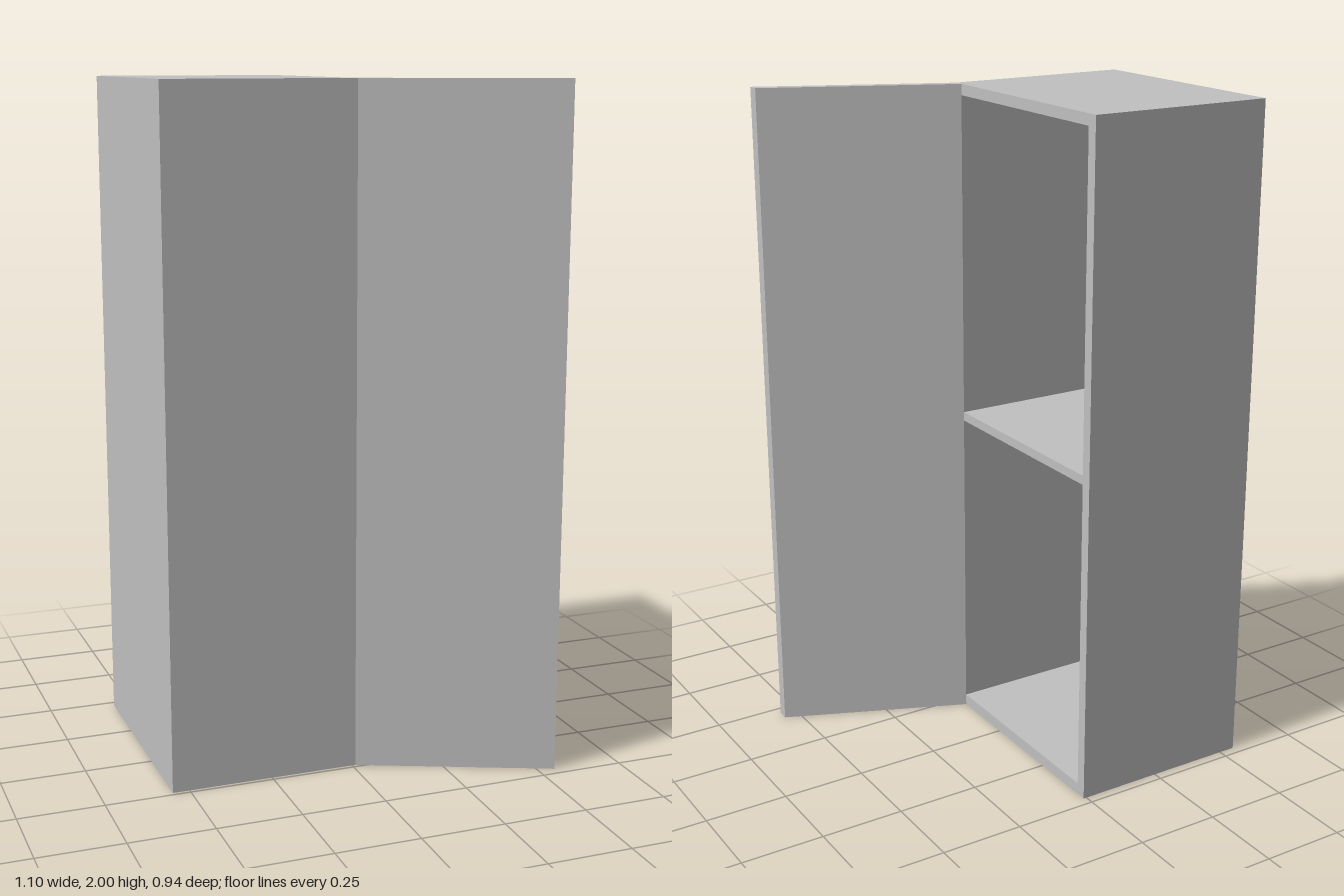
import * as THREE from 'three';

export function createModel() {
  const group = new THREE.Group();
  group.name = 'cabinet';
  const grey = new THREE.MeshStandardMaterial({ color: 0xc0c0c0 });
  grey.name = 'grey';

  // box panel given by its min and max corners
  const panel = (name, x0, x1, y0, y1, z0, z1) => {
    const mesh = new THREE.Mesh(new THREE.BoxGeometry(x1 - x0, y1 - y0, z1 - z0), grey);
    mesh.position.set((x0 + x1) / 2, (y0 + y1) / 2, (z0 + z1) / 2);
    mesh.name = name;
    group.add(mesh);
  };

  // carcass, open towards +x
  const L = -0.55, IN = -0.45, R = 0.01;
  panel('endWall', L, IN, 0, 2, -0.472, 0.238);
  panel('rearWall', IN, R, 0, 2, -0.472, -0.44);
  panel('frontWall', IN, R, 0, 2, 0.206, 0.238);
  panel('floor', IN, R, 0, 0.035, -0.44, 0.206);
  panel('shelf', IN, R, 0.978, 1.005, -0.44, 0.206);
  panel('roof', IN, R, 1.968, 2, -0.44, 0.206);

  // open door, a slanted slab hinged on the front wall
  const plan = new THREE.Shape([[R, 0.238], [0.55, 0.47], [0.55, 0.436], [R, 0.206]]
    .map(([x, z]) => new THREE.Vector2(x, -z)));
  const doorGeometry = new THREE.ExtrudeGeometry(plan, { depth: 2, bevelEnabled: false });
  doorGeometry.rotateX(-Math.PI / 2);
  const door = new THREE.Mesh(doorGeometry, grey);
  door.name = 'door';
  group.add(door);

  return group;
}
